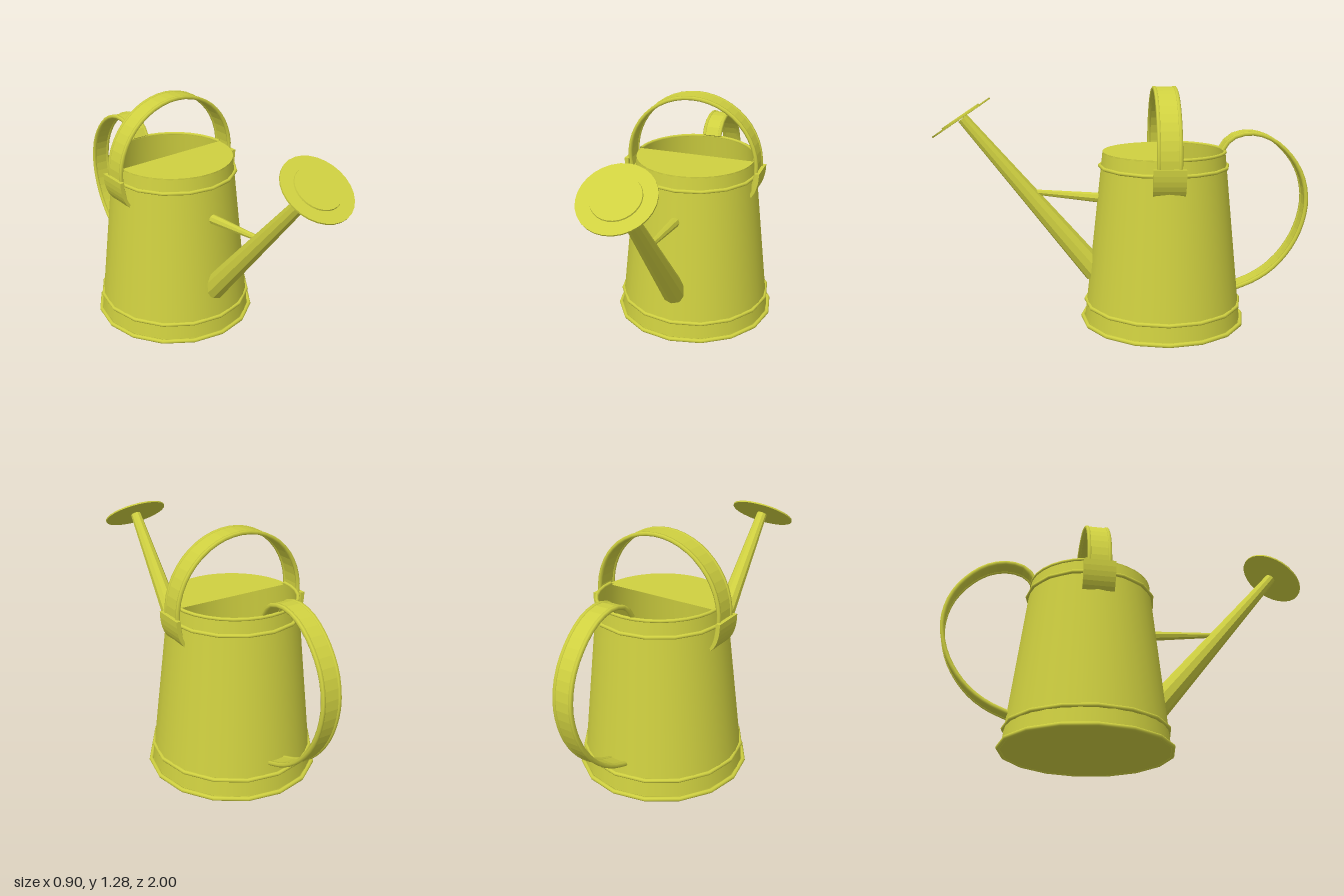
import * as THREE from 'three';

const CZ = -0.215; // centre of the can along z
const paint = new THREE.MeshStandardMaterial({ color: 0xcfd040, side: THREE.DoubleSide });
const facetPaint = paint.clone();
facetPaint.flatShading = true;

function add(parent, name, geometry, material = paint) {
  const mesh = new THREE.Mesh(geometry, material);
  mesh.name = name;
  parent.add(mesh);
  return mesh;
}

// Tapered round bar between two points
function bar(parent, name, a, b, rA, rB, sides) {
  const dir = b.clone().sub(a);
  const mesh = add(parent, name, new THREE.CylinderGeometry(rB, rA, dir.length(), sides), facetPaint);
  mesh.position.copy(a).add(b).multiplyScalar(0.5);
  mesh.quaternion.setFromUnitVectors(new THREE.Vector3(0, 1, 0), dir.normalize());
  return mesh;
}

// Flat strap following a planar curve, with a rounded bead along each edge
function strap(name, points, width, thickness, bead) {
  const group = new THREE.Group();
  group.name = name;
  const curve = new THREE.CatmullRomCurve3(points.map(([x, y]) => new THREE.Vector3(x, y, 0)));
  const n = 28, outer = [], inner = [];
  for (let i = 0; i <= n; i++) {
    const p = curve.getPointAt(i / n), t = curve.getTangentAt(i / n);
    const dx = -t.y * thickness / 2, dy = t.x * thickness / 2;
    outer.push(new THREE.Vector2(p.x + dx, p.y + dy));
    inner.unshift(new THREE.Vector2(p.x - dx, p.y - dy));
  }
  const band = new THREE.ExtrudeGeometry(new THREE.Shape([...outer, ...inner]), { depth: width, bevelEnabled: false });
  add(group, name + 'Band', band.translate(0, 0, -width / 2));
  for (const s of [-1, 1]) {
    const edge = add(group, name + 'Bead', new THREE.TubeGeometry(curve, n, bead, 6));
    edge.position.z = s * (width / 2 - bead * 0.4);
  }
  return group;
}

export function createModel() {
  const model = new THREE.Group();
  model.name = 'wateringCan';

  // Tapered can with a thin wall and a floor
  const can = new THREE.Group();
  can.name = 'can';
  can.position.z = CZ;
  model.add(can);
  const profile = (pts) => pts.map(([r, y]) => new THREE.Vector2(r, y));
  add(can, 'outerWall', new THREE.LatheGeometry(profile([[0.428, 0.01], [0.327, 0.937]]), 32));
  add(can, 'innerWall', new THREE.LatheGeometry(profile([[0.317, 0.937], [0.416, 0.03]]), 32));
  const floor = add(can, 'floor', new THREE.CylinderGeometry(0.425, 0.43, 0.025, 32));
  floor.position.y = 0.0175;

  // Reinforcing hoops
  for (const [name, r, y, tube] of [['baseHoop', 0.44, 0.012, 0.012], ['lowerHoop', 0.422, 0.11, 0.011], ['upperHoop', 0.343, 0.86, 0.01]]) {
    const hoop = add(can, name, new THREE.TorusGeometry(r, tube, 8, 16));
    hoop.rotation.x = Math.PI / 2;
    hoop.position.y = y;
  }

  // Half lid over the front, rolled rim around the open back
  const lid = add(can, 'halfLid', new THREE.CylinderGeometry(0.327, 0.327, 0.008, 24, 1, false, -Math.PI / 2, Math.PI));
  lid.position.y = 0.934;
  const rim = add(can, 'backRim', new THREE.TorusGeometry(0.325, 0.009, 8, 16, Math.PI));
  rim.rotation.x = -Math.PI / 2;
  rim.position.y = 0.938;

  // Carrying handle arching over the top
  const arch = [];
  for (let i = 0; i <= 12; i++) {
    const a = THREE.MathUtils.degToRad(-18 + 18 * i);
    arch.push([0.362 * Math.cos(a), 0.908 + 0.362 * Math.sin(a)]);
  }
  const top = strap('carryHandle', arch, 0.115, 0.01, 0.011);
  top.position.set(-0.008, 0, CZ);
  model.add(top);

  // Curved tabs fixing the carrying handle to the can
  const tabShape = new THREE.Shape();
  tabShape.moveTo(0.362, 0.9);
  tabShape.lineTo(0.385, 0.9);
  tabShape.quadraticCurveTo(0.385, 0.8, 0.335, 0.75);
  tabShape.lineTo(0.33, 0.765);
  tabShape.quadraticCurveTo(0.364, 0.82, 0.362, 0.9);
  for (const s of [-1, 1]) {
    const geometry = new THREE.ExtrudeGeometry(tabShape, { depth: 0.165, bevelEnabled: false, curveSegments: 6 });
    const tab = add(top, s > 0 ? 'leftTab' : 'rightTab', geometry.translate(0, 0, -0.0825));
    if (s < 0) tab.rotation.y = Math.PI;
  }

  // Rear pouring handle: strap drawn in x = -z, then turned to face back
  const rear = strap('rearHandle', [
    [0.525, 0.945], [0.57, 1.005], [0.67, 1.033], [0.78, 1.005], [0.88, 0.925], [0.955, 0.81], [0.985, 0.67],
    [0.965, 0.53], [0.91, 0.405], [0.82, 0.293], [0.72, 0.222], [0.61, 0.175],
  ], 0.1, 0.012, 0.012);
  rear.rotation.y = Math.PI / 2;
  rear.position.x = -0.005;
  model.add(rear);

  // Spout and its brace
  const v = (y, z) => new THREE.Vector3(0, y, z);
  bar(model, 'spout', v(0.27, 0.15), v(1.115, 0.842), 0.068, 0.03, 10);
  bar(model, 'spoutBrace', v(0.682, 0.11), v(0.718, 0.48), 0.028, 0.014, 8);

  // Sprinkler rose with a raised centre
  const rose = new THREE.Group();
  rose.name = 'sprinklerRose';
  rose.position.set(0, 1.118, 0.85);
  rose.rotation.x = Math.atan2(0.2, 0.3);
  add(rose, 'roseDisc', new THREE.CylinderGeometry(0.181, 0.181, 0.008, 28));
  const centre = add(rose, 'roseCentre', new THREE.CylinderGeometry(0.115, 0.117, 0.008, 28));
  centre.position.y = 0.007;
  model.add(rose);

  return model;
}
